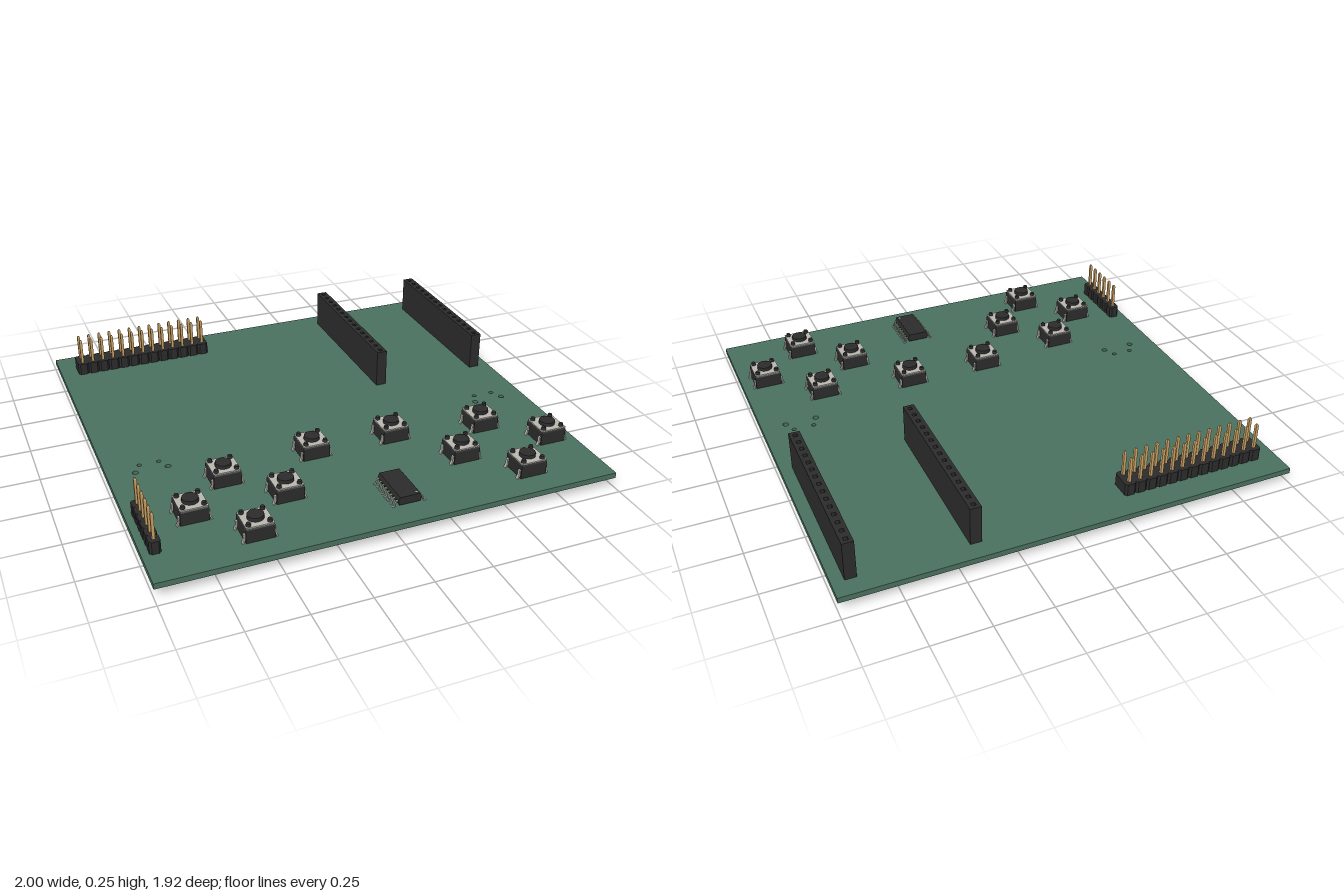
import * as THREE from 'three';

const mat = (color) => new THREE.MeshStandardMaterial({ color });
const green = mat(0x4a705f), black = mat(0x2b2b2b), gold = mat(0xc8a064), silver = mat(0xb9b6ae);
const TOP = 0.07, BOTTOM = 0.045, PITCH = 0.0506;

function add(parent, name, geo, material, x = 0, y = 0, z = 0) {
  const m = new THREE.Mesh(geo, material);
  m.name = name;
  m.position.set(x, y, z);
  parent.add(m);
  return m;
}

function group(parent, name, x = 0, y = 0, z = 0) {
  const g = new THREE.Group();
  g.name = name;
  g.position.set(x, y, z);
  parent.add(g);
  return g;
}

const polygon = (pts) => new THREE.Shape(pts.map(([x, y]) => new THREE.Vector2(x, y)));
const rect = (w, d, cx = 0, cy = 0) => [
  [cx - w / 2, cy - d / 2], [cx + w / 2, cy - d / 2], [cx + w / 2, cy + d / 2], [cx - w / 2, cy + d / 2]];

// Plan outline (x, -z) raised upward from y = 0
function slab(shape, height) {
  const g = new THREE.ExtrudeGeometry(shape, { depth: height, bevelEnabled: false, curveSegments: 8 });
  return g.rotateX(-Math.PI / 2);
}

// Bent metal strip: an x-y path thickened by (tx, ty) and centred on z
function strip(path, tx, ty, width) {
  const back = path.map(([x, y]) => [x - tx, y - ty]).reverse();
  const g = new THREE.ExtrudeGeometry(polygon([...path, ...back]), { depth: width, bevelEnabled: false });
  return g.translate(0, 0, -width / 2);
}

// Square pin with tapered ends
function pinGeometry(y0, y1, w = 0.0125) {
  const r = w / Math.SQRT2, tip = 0.008;
  const pts = [[0, y0], [r * 0.5, y0], [r, y0 + tip], [r, y1 - tip], [r * 0.5, y1], [0, y1]];
  const g = new THREE.LatheGeometry(pts.map(([x, y]) => new THREE.Vector2(x, y)), 4, Math.PI / 4);
  const flat = g.toNonIndexed();
  flat.computeVertexNormals();
  return flat;
}

// Circuit board with two sets of through holes
function buildBoard(parent) {
  const shape = polygon(rect(2, 1.925));
  const holes = [
    [-0.88, 0.21, 0.013], [-0.85, 0.158, 0.01], [-0.765, 0.158, 0.01], [-0.738, 0.21, 0.013],
    [0.752, 0.2, 0.013], [0.776, 0.147, 0.01], [0.866, 0.147, 0.01], [0.891, 0.2, 0.013]];
  for (const [x, z, r] of holes) {
    shape.holes.push(new THREE.Path().absarc(x, -z, r, 0, Math.PI * 2, true));
  }
  add(parent, 'board', slab(shape, TOP - BOTTOM), green, 0, BOTTOM, 0);
}

// Pin header: a row of chamfered blocks along x with pins through them
function buildPinHeader(parent, name, columns, rows, x, z, turn = 0) {
  const g = group(parent, name, x, 0, z);
  g.rotation.y = turn;
  const w = PITCH / 2, d = (rows * PITCH - 0.004) / 2, c = 0.009;
  const block = slab(polygon([
    [-w, -d + c], [-w + c, -d], [w - c, -d], [w, -d + c],
    [w, d - c], [w - c, d], [-w + c, d], [-w, d - c]]), 0.055);
  const pin = pinGeometry(0.014, 0.245);
  for (let i = 0; i < columns; i++) {
    const px = (i - (columns - 1) / 2) * PITCH;
    add(g, 'headerBlock', block, black, px, TOP, 0);
    for (let j = 0; j < rows; j++) {
      add(g, 'headerPin', pin, gold, px, 0, (j - (rows - 1) / 2) * PITCH);
    }
  }
}

// Tall socket strip along z with square openings
function buildSocket(parent, x, z, count = 15) {
  const g = group(parent, 'socketStrip', x, 0, z);
  const length = count * PITCH, width = 0.049, floor = 0.09;
  const shape = polygon(rect(width, length));
  const tail = pinGeometry(0.014, 0.08, 0.011), contact = pinGeometry(0.08, 0.16, 0.007);
  for (let i = 0; i < count; i++) {
    const pz = (i - (count - 1) / 2) * PITCH;
    shape.holes.push(polygon(rect(0.018, 0.018, 0, -pz)));
    add(g, 'socketTail', tail, gold, 0, 0, pz);
    add(g, 'socketContact', contact, gold, 0, 0, pz);
  }
  add(g, 'socketBase', new THREE.BoxGeometry(width, floor - TOP, length), black, 0, (floor + TOP) / 2, 0);
  add(g, 'socketBody', slab(shape, 0.245 - floor), black, 0, floor, 0);
}

// Push button: shared geometries
const bodyGeo = new THREE.BoxGeometry(0.12, 0.058, 0.12);
const shoulderGeo = new THREE.CylinderGeometry(0.054 * Math.SQRT2, 0.06 * Math.SQRT2, 0.009, 4, 1)
  .rotateY(Math.PI / 4).toNonIndexed();
shoulderGeo.computeVertexNormals();
const plateGeo = new THREE.BoxGeometry(0.118, 0.004, 0.118);
const capGeo = new THREE.CylinderGeometry(0.034, 0.035, 0.018, 24);
const postGeo = new THREE.CylinderGeometry(0.009, 0.011, 0.014, 12);
const legGeo = strip([[0.056, 0.112], [0.067, 0.11], [0.067, 0.088], [0.074, 0.07],
  [0.069, 0.048], [0.069, 0.02], [0.066, 0]], 0.006, 0.002, 0.014);

function buildButton(parent, x, z) {
  const g = group(parent, 'pushButton', x, 0, z);
  add(g, 'buttonBody', bodyGeo, black, 0, TOP + 0.031, 0);
  add(g, 'buttonShoulder', shoulderGeo, black, 0, 0.1345, 0);
  add(g, 'buttonPlate', plateGeo, silver, 0, 0.14, 0);
  add(g, 'buttonCap', capGeo, black, 0, 0.149, 0);
  for (const side of [-1, 1]) {
    for (const end of [-1, 1]) {
      add(g, 'buttonPost', postGeo, black, side * 0.044, 0.148, end * 0.044);
      const leg = add(g, 'buttonLeg', legGeo, silver, 0, 0, end * 0.048);
      if (side < 0) leg.rotation.y = Math.PI;
    }
  }
}

// Small chip with bevelled sides, gull-wing legs and a corner dot
function buildChip(parent, x, z) {
  const g = group(parent, 'chip', x, 0, z);
  const side = polygon([[-0.047, 0.08], [0.047, 0.08], [0.052, 0.097], [0.045, 0.116],
    [-0.045, 0.116], [-0.052, 0.097]]);
  const body = new THREE.ExtrudeGeometry(side, { depth: 0.198, bevelEnabled: false }).translate(0, 0, -0.099);
  add(g, 'chipBody', body, black);
  add(g, 'chipDot', new THREE.CylinderGeometry(0.005, 0.005, 0.001, 12), silver, 0.034, 0.1162, 0.083);
  const leg = strip([[0.048, 0.098], [0.06, 0.098], [0.066, 0.075], [0.076, 0.075]], 0.002, 0.004, 0.009);
  for (let i = 0; i < 8; i++) {
    const pz = (i - 3.5) * PITCH / 2;
    add(g, 'chipLeg', leg, silver, 0, 0, pz);
    add(g, 'chipLeg', leg, silver, 0, 0, pz).rotation.y = Math.PI;
  }
}

export function createModel() {
  const model = new THREE.Group();
  model.name = 'circuitBoard';
  buildBoard(model);
  buildPinHeader(model, 'doubleHeader', 13, 2, -0.591, -0.806);
  buildPinHeader(model, 'singleHeader', 6, 1, -0.944, 0.64, Math.PI / 2);
  for (const x of [0.414, 0.922]) buildSocket(model, x, -0.5);
  const buttons = [
    [-0.55, 0.398], [-0.75, 0.597], [-0.349, 0.597], [-0.549, 0.8], [-0.13, 0.335],
    [0.247, 0.335], [0.66, 0.398], [0.455, 0.597], [0.882, 0.597], [0.66, 0.797]];
  for (const [x, z] of buttons) buildButton(model, x, z);
  buildChip(model, 0.088, 0.755);
  return model;
}
